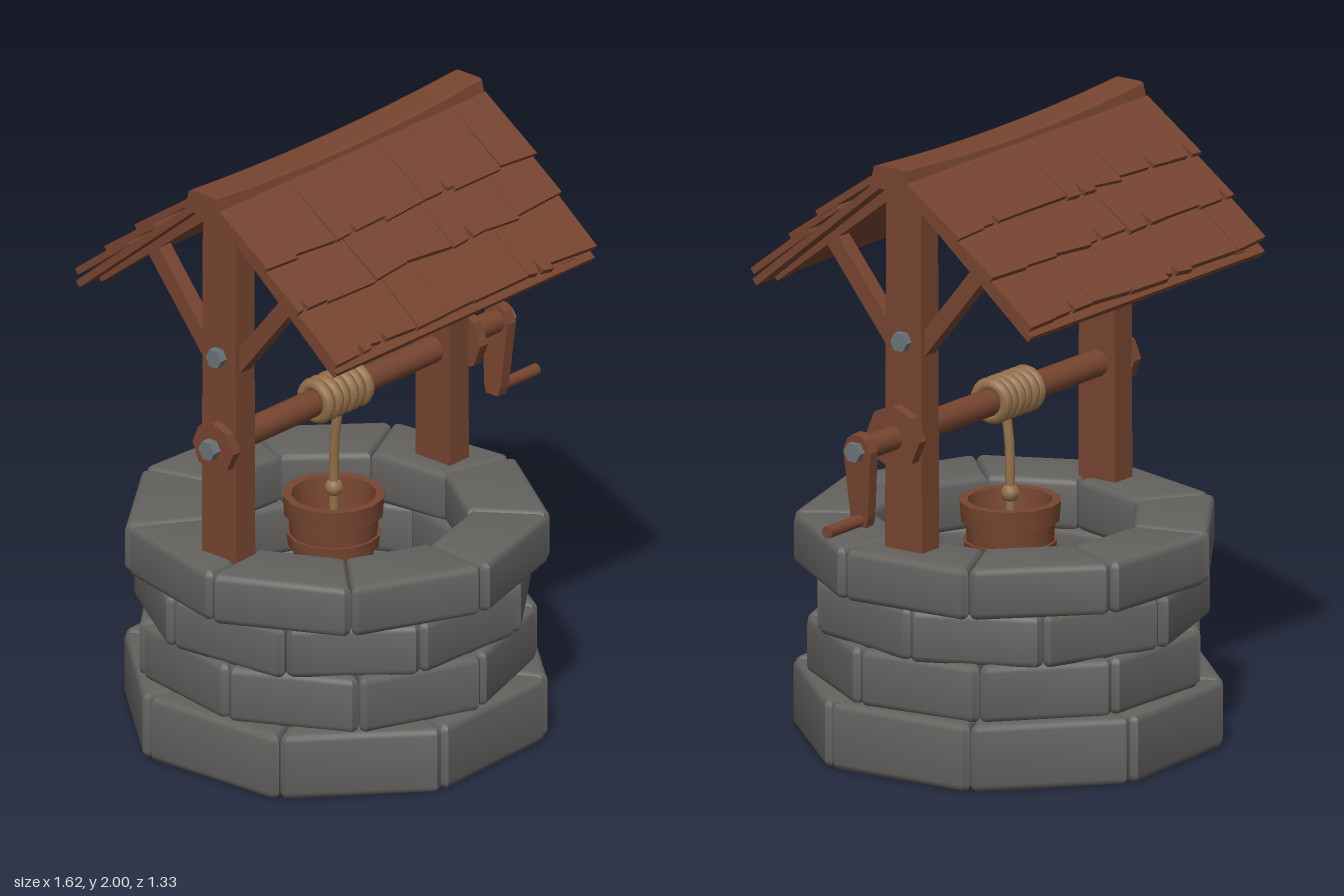
import * as THREE from 'three';
import { toCreasedNormals } from 'three/addons/utils/BufferGeometryUtils.js';

const mat = (name, color) => Object.assign(new THREE.MeshStandardMaterial({ color }), { name });
const CX = -0.14; // centre of the well shaft

// Small seeded generator for hand-made irregularity
function seeded(seed) {
  return () => (seed = (seed * 16807) % 2147483647) / 2147483647;
}

function polygon(points) {
  return new THREE.Shape(points.map(([x, y]) => new THREE.Vector2(x, y)));
}

// Faceted cylinder lying along x from x0 to x1
function rod(x0, x1, r, sides) {
  return new THREE.CylinderGeometry(r, r, x1 - x0, sides).rotateZ(Math.PI / 2).translate((x0 + x1) / 2, 0, 0);
}

// Outline given as (z, y), extruded along x and centred on x = 0
function sideExtrude(points, width, steps = 1) {
  return new THREE.ExtrudeGeometry(polygon(points), { depth: width, steps, bevelEnabled: false })
    .translate(0, 0, -width / 2).rotateY(-Math.PI / 2);
}

export function createModel() {
  const wood = mat('wood', 0x774530);
  const stone = mat('stone', 0x64625f);
  const rope = mat('rope', 0x94704a);
  const metal = mat('metal', 0x6c7378);
  const rand = seeded(4711);
  const model = new THREE.Group();
  model.name = 'well';

  // Adds a mesh; faces meeting at less than the crease angle are shaded smoothly
  function add(parent, name, geometry, material, x = 0, y = 0, z = 0, crease = 0.1) {
    const mesh = new THREE.Mesh(toCreasedNormals(geometry, crease), material);
    mesh.name = name;
    mesh.position.set(x, y, z);
    parent.add(mesh);
    return mesh;
  }
  function group(name, parent = model) {
    const g = new THREE.Group();
    g.name = name;
    parent.add(g);
    return g;
  }

  // Stone courses: rings of rounded wedge blocks, open through the middle
  const wall = group('stoneWall');
  wall.position.x = CX;
  const courses = [ // bottom, top, outer radius, inner radius, blocks, first angle
    [0.0, 0.22, 0.69, 0.44, 8, 4],
    [0.214, 0.402, 0.64, 0.43, 9, 18.5],
    [0.394, 0.567, 0.64, 0.43, 9, -3],
    [0.56, 0.73, 0.68, 0.42, 9, 16],
  ];
  for (const [y0, y1, R, r, n, first] of courses) {
    const bevel = 0.024, cut = 0.022;
    for (let i = 0; i < n; i++) {
      const h = Math.PI / n - 0.002;
      const Ro = R + (rand() - 0.5) * 0.014, Rp = R + (rand() - 0.5) * 0.014;
      const ri = r + (rand() - 0.5) * 0.015;
      const c = Math.cos(h), s = Math.sin(h);
      const g = new THREE.ExtrudeGeometry(
        polygon([[ri * c, -ri * s], [(Ro - cut) * c, -(Ro - cut) * s], [Ro * c, -Ro * s + cut],
          [Rp * c, Rp * s - cut], [(Rp - cut) * c, (Rp - cut) * s], [ri * c, ri * s]]),
        { depth: y1 - y0 - 2 * bevel, bevelSize: bevel, bevelThickness: bevel, bevelOffset: -bevel, bevelSegments: 3 });
      g.translate(0, 0, bevel).rotateX(-Math.PI / 2);
      const block = add(wall, 'stoneBlock', g, stone, 0, y0, 0, 0.6);
      block.rotation.y = THREE.MathUtils.degToRad(first - 90) + (i * 2 * Math.PI) / n;
    }
  }

  // Posts with braces, rafters and bolts
  for (const side of [-1, 1]) {
    const frame = group(side < 0 ? 'rightFrame' : 'leftFrame');
    frame.position.x = CX + side * 0.505;
    add(frame, 'post', sideExtrude([[-0.073, 0.6], [0.073, 0.6], [0.068, 1.9], [0, 1.945], [-0.068, 1.9]], 0.09), wood);
    add(frame, 'bolt', rod(-0.02, 0.02, 0.033, 6), metal, side * 0.052, 1.415, 0);
    for (const m of [-1, 1]) {
      const brace = add(frame, 'brace', new THREE.BoxGeometry(0.055, 0.44, 0.055), wood, 0, 1.545, m * 0.175);
      brace.rotation.x = m * 0.68;
      const rafter = add(frame, 'rafter', new THREE.BoxGeometry(0.06, 0.044, 0.56), wood, 0, 1.708, m * 0.3);
      rafter.rotation.x = m * 0.66;
    }
  }

  // Roof: two slopes, each a board with three rows of ragged shingles
  const slope = THREE.MathUtils.degToRad(39.7);
  const roof = group('roof');
  roof.position.x = CX;
  function shingle(width, length) {
    const w = width / 2 - 0.001, a = rand() * 0.02, b = rand() * 0.02;
    const pts = [[-w, 0], [-w, -length + a]];
    if (rand() < 0.55) { // split in the lower edge
      const nx = (rand() - 0.5) * w;
      pts.push([nx - 0.014, -length + (a + b) / 2], [nx + 0.003, -length + 0.04 + rand() * 0.02], [nx + 0.012, -length + (a + b) / 2]);
    }
    pts.push([w, -length + b], [w, 0]);
    return new THREE.ExtrudeGeometry(polygon(pts), { depth: 0.022, bevelEnabled: false });
  }
  const rows = [ // top, bottom, half length, tilt
    [0.07, 0.33, 0.63, 0.075],
    [0.25, 0.5, 0.625, 0.075],
    [0.4, 0.695, 0.62, 0.03],
  ];
  for (const turn of [0, Math.PI]) {
    const half = group(turn ? 'backSlope' : 'frontSlope', roof);
    half.rotation.y = turn;
    const plane = group('slopePlane', half);
    plane.position.y = 1.978;
    plane.rotation.x = slope - Math.PI / 2;
    add(plane, 'roofBoard', new THREE.BoxGeometry(1.22, 0.645, 0.024), wood, 0, -0.3825, -0.002);
    for (const [top, bottom, halfLen, tilt] of rows) {
      const cuts = [-halfLen];
      for (let i = 1; i < 7; i++) cuts.push(-halfLen + (2 * halfLen * (i + (rand() - 0.5) * 0.5)) / 7);
      cuts.push(halfLen);
      for (let i = 0; i < 7; i++) {
        const tile = add(plane, 'shingle', shingle(cuts[i + 1] - cuts[i], bottom - top + (rand() - 0.5) * 0.012), wood,
          (cuts[i] + cuts[i + 1]) / 2, -top, 0.009);
        tile.rotation.x = -tilt - rand() * 0.02;
        tile.rotation.z = (rand() - 0.5) * 0.03;
      }
    }
  }

  // Ridge beam, sagging and widest in the middle
  const ridge = sideExtrude([[-0.082, 1.925], [0.082, 1.925], [0.062, 1.995], [0.05, 2], [-0.05, 2], [-0.062, 1.995]], 1.26, 8);
  const rp = ridge.attributes.position;
  for (let i = 0; i < rp.count; i++) {
    const t = (rp.getX(i) / 0.63) ** 2;
    rp.setY(i, rp.getY(i) - 0.025 * (1 - t));
    rp.setZ(i, rp.getZ(i) * (1 - 0.1 * t));
  }
  add(roof, 'ridgeBeam', ridge, wood);

  // Windlass with its collars, crank and nuts
  const windlass = group('windlass');
  windlass.position.y = 1.11;
  add(windlass, 'roller', rod(-0.7, 0.45, 0.044, 12), wood, 0, 0, 0, 0.6);
  add(windlass, 'endCollar', rod(-0.72, -0.685, 0.085, 8), wood);
  add(windlass, 'endNut', rod(-0.75, -0.715, 0.034, 6), metal);
  add(windlass, 'crankCollar', rod(0.43, 0.466, 0.104, 8), wood);
  add(windlass, 'crankShaft', rod(0.46, 0.63, 0.039, 12), wood, 0, 0, 0, 0.6);
  const arm = add(windlass, 'crankArm', sideExtrude([[-0.025, -0.25], [0.025, -0.25], [0.034, -0.22], [0.053, 0],
    [0.035, 0.04], [0.015, 0.054], [-0.015, 0.054], [-0.035, 0.04], [-0.053, 0], [-0.034, -0.22]], 0.04), wood, 0.635);
  arm.rotation.z = -0.06;
  add(windlass, 'crankNut', rod(0.645, 0.68, 0.033, 6), metal);
  add(windlass, 'crankHandle', rod(0.61, 0.81, 0.02, 10), wood, 0, -0.23, 0, 0.7);

  // Rope coil, hanging rope and knot
  const ropeGroup = group('rope');
  for (let i = 0; i < 6; i++) {
    const loop = add(ropeGroup, 'ropeLoop', new THREE.TorusGeometry(0.055, 0.021, 8, 20), rope,
      -0.23 + i * 0.036, 1.113, 0, 1);
    loop.rotation.y = Math.PI / 2 + (i % 2 ? 0.06 : -0.04);
  }
  const hang = new THREE.CatmullRomCurve3([[-0.15, 1.06, 0.02], [-0.15, 0.95, 0.005], [-0.147, 0.8, 0], [-0.147, 0.54, 0]]
    .map((p) => new THREE.Vector3(...p)));
  add(ropeGroup, 'hangingRope', new THREE.TubeGeometry(hang, 14, 0.016, 8), rope, 0, 0, 0, 1);
  add(ropeGroup, 'knot', new THREE.SphereGeometry(0.03, 10, 8), rope, -0.147, 0.79, 0, 1);

  // Bucket with stepped bands, hollow inside
  const profile = [[0, 0.49], [0.115, 0.49], [0.133, 0.6], [0.146, 0.6], [0.15, 0.64], [0.14, 0.64], [0.145, 0.705],
    [0.158, 0.705], [0.163, 0.77], [0.135, 0.77], [0.105, 0.53], [0, 0.53]];
  add(model, 'bucket', new THREE.LatheGeometry(profile.map(([x, y]) => new THREE.Vector2(x, y)), 14), wood, -0.147, 0, 0, 0.5);

  return model;
}
